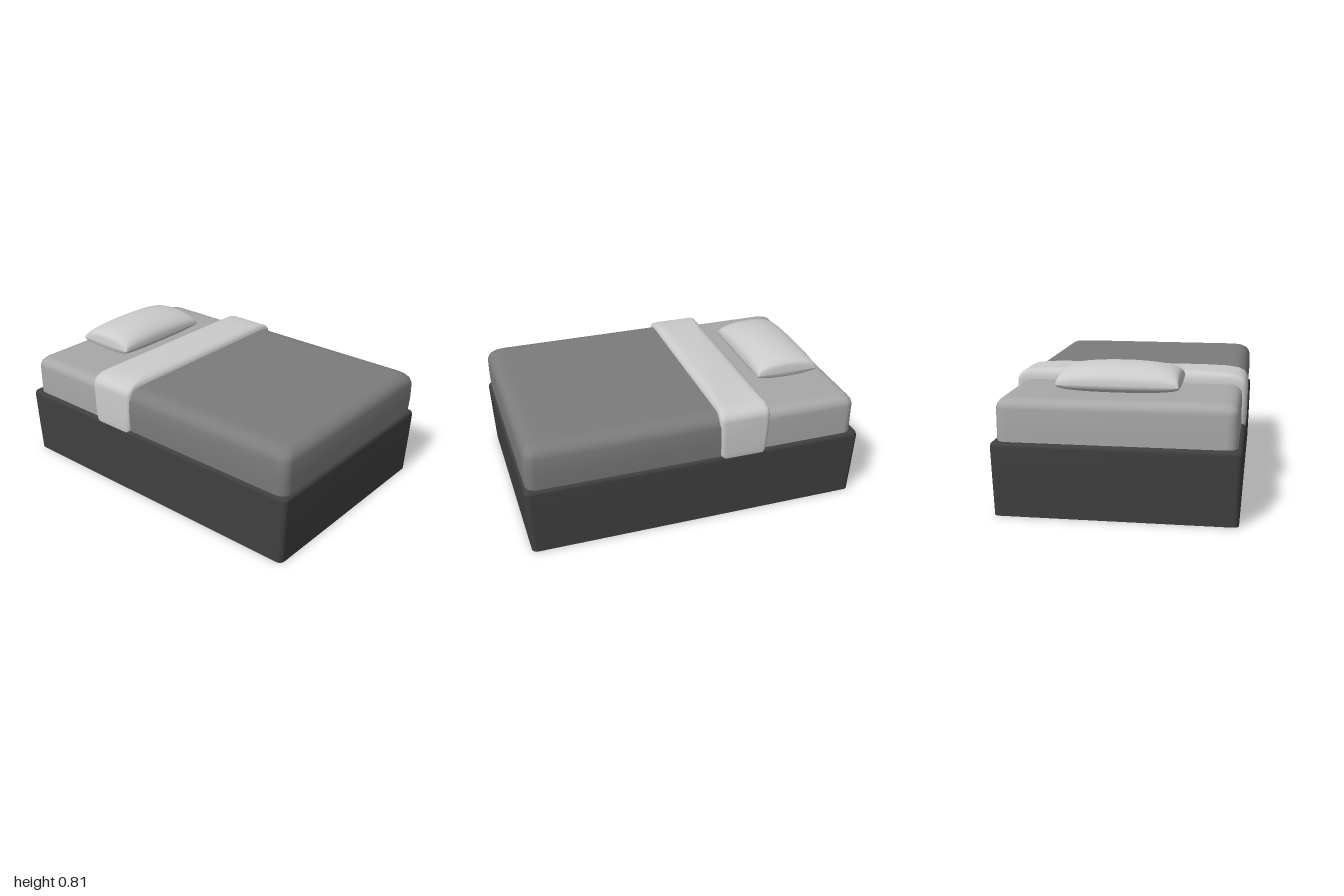
import * as THREE from 'three';

const CORNER_STEPS = 6;

function paint(color) {
  return new THREE.MeshStandardMaterial({ color, side: THREE.DoubleSide });
}

// Outline of a rounded rectangle in the xz plane
function roundedRing(y, hx, hz, r) {
  const ring = [];
  for (let corner = 0; corner < 4; corner++) {
    const sx = corner === 0 || corner === 3 ? 1 : -1;
    const sz = corner < 2 ? 1 : -1;
    for (let i = 0; i <= CORNER_STEPS; i++) {
      const a = (corner + i / CORNER_STEPS) * Math.PI / 2;
      ring.push([sx * (hx - r) + r * Math.cos(a), y, sz * (hz - r) + r * Math.sin(a)]);
    }
  }
  return ring;
}

// Open-bottomed shell through stacked levels [y, half width, half depth, corner radius]
function shell(name, color, levels, x = 0) {
  const top = levels[levels.length - 1];
  const rings = [...levels, [top[0], 0, 0, 0]].map(l => roundedRing(...l));
  const n = rings[0].length;
  const index = [];
  for (let j = 0; j < rings.length - 1; j++) {
    for (let i = 0; i < n; i++) {
      const a = j * n + i, b = j * n + (i + 1) % n;
      index.push(a, a + n, b, b, a + n, b + n);
    }
  }
  const geo = new THREE.BufferGeometry();
  geo.setAttribute('position', new THREE.Float32BufferAttribute(rings.flat(2), 3));
  geo.setIndex(index);
  geo.computeVertexNormals();
  const mesh = new THREE.Mesh(geo, paint(color));
  mesh.name = name;
  mesh.position.x = x;
  return mesh;
}

// One puffed sheet of the pillow; height is negative for the underside
function pillowSheet(hx, hz, height) {
  const geo = new THREE.PlaneGeometry(2, 2, 24, 24);
  geo.rotateX(-Math.PI / 2);
  const p = geo.attributes.position;
  for (let i = 0; i < p.count; i++) {
    const u = Math.sin(p.getX(i) * Math.PI / 2);
    const v = Math.sin(p.getZ(i) * Math.PI / 2);
    const puff = Math.pow(Math.max(0, 1 - u * u), 0.4) * Math.pow(Math.max(0, 1 - v * v), 0.23);
    p.setXYZ(i, hx * u, height * puff, hz * v);
  }
  if (height < 0) {
    const idx = geo.index.array;
    for (let i = 0; i < idx.length; i += 3) [idx[i], idx[i + 1]] = [idx[i + 1], idx[i]];
  }
  geo.computeVertexNormals();
  return geo;
}

export function createModel() {
  const bed = new THREE.Group();
  bed.name = 'bed';

  // Slightly flared hollow base
  bed.add(shell('base', 0x404040, [
    [0, 0.982, 0.655, 0.03], [0.2, 0.992, 0.66, 0.03], [0.385, 1, 0.664, 0.03],
    [0.4, 0.996, 0.66, 0.03], [0.408, 0.985, 0.65, 0.03], [0.408, 0.96, 0.625, 0.03],
  ]));

  // Mattress, its skirt tucked inside the base
  bed.add(shell('mattress', 0xa8a8a8, [
    [0.27, 0.965, 0.635, 0.06], [0.42, 0.97, 0.64, 0.06], [0.585, 0.97, 0.64, 0.06],
    [0.61, 0.963, 0.633, 0.06], [0.627, 0.948, 0.618, 0.06], [0.637, 0.925, 0.595, 0.06],
    [0.64, 0.895, 0.565, 0.06], [0.64, 0.84, 0.51, 0.06],
  ]));

  // Blanket over the foot end; its other edge lies under the folded band
  bed.add(shell('blanket', 0x7c7c7c, [
    [0.4, 0.628, 0.648, 0.06], [0.5, 0.633, 0.656, 0.06], [0.6, 0.633, 0.655, 0.06],
    [0.63, 0.623, 0.643, 0.06], [0.65, 0.605, 0.625, 0.06], [0.664, 0.58, 0.6, 0.06],
    [0.67, 0.55, 0.57, 0.06], [0.67, 0.5, 0.52, 0.06],
  ], 0.357));

  // Folded band across the bed
  const bandX = -0.268;
  bed.add(shell('foldedBand', 0xc0c0c0, [
    [0.395, 0.13, 0.662, 0.02], [0.42, 0.143, 0.666, 0.03], [0.5, 0.148, 0.667, 0.03],
    [0.63, 0.152, 0.668, 0.03], [0.655, 0.151, 0.66, 0.03], [0.675, 0.147, 0.645, 0.03],
    [0.69, 0.139, 0.615, 0.03], [0.7, 0.125, 0.56, 0.03], [0.708, 0.1, 0.44, 0.03],
  ], bandX));

  // Ends of the band tucked inside the base
  for (const side of [-1, 1]) {
    const flap = new THREE.Mesh(new THREE.BoxGeometry(0.29, 0.16, 0.02), paint(0xc0c0c0));
    flap.name = 'tuckedBandEnd';
    flap.position.set(bandX, 0.315, side * 0.642);
    bed.add(flap);
  }

  // Pillow made of two puffed sheets
  const pillow = new THREE.Group();
  pillow.name = 'pillow';
  pillow.position.set(-0.67, 0.7, -0.005);
  for (const [name, height] of [['pillowTop', 0.107], ['pillowUnderside', -0.056]]) {
    const sheet = new THREE.Mesh(pillowSheet(0.19, 0.328, height), paint(0xcccccc));
    sheet.name = name;
    pillow.add(sheet);
  }
  bed.add(pillow);

  return bed;
}
